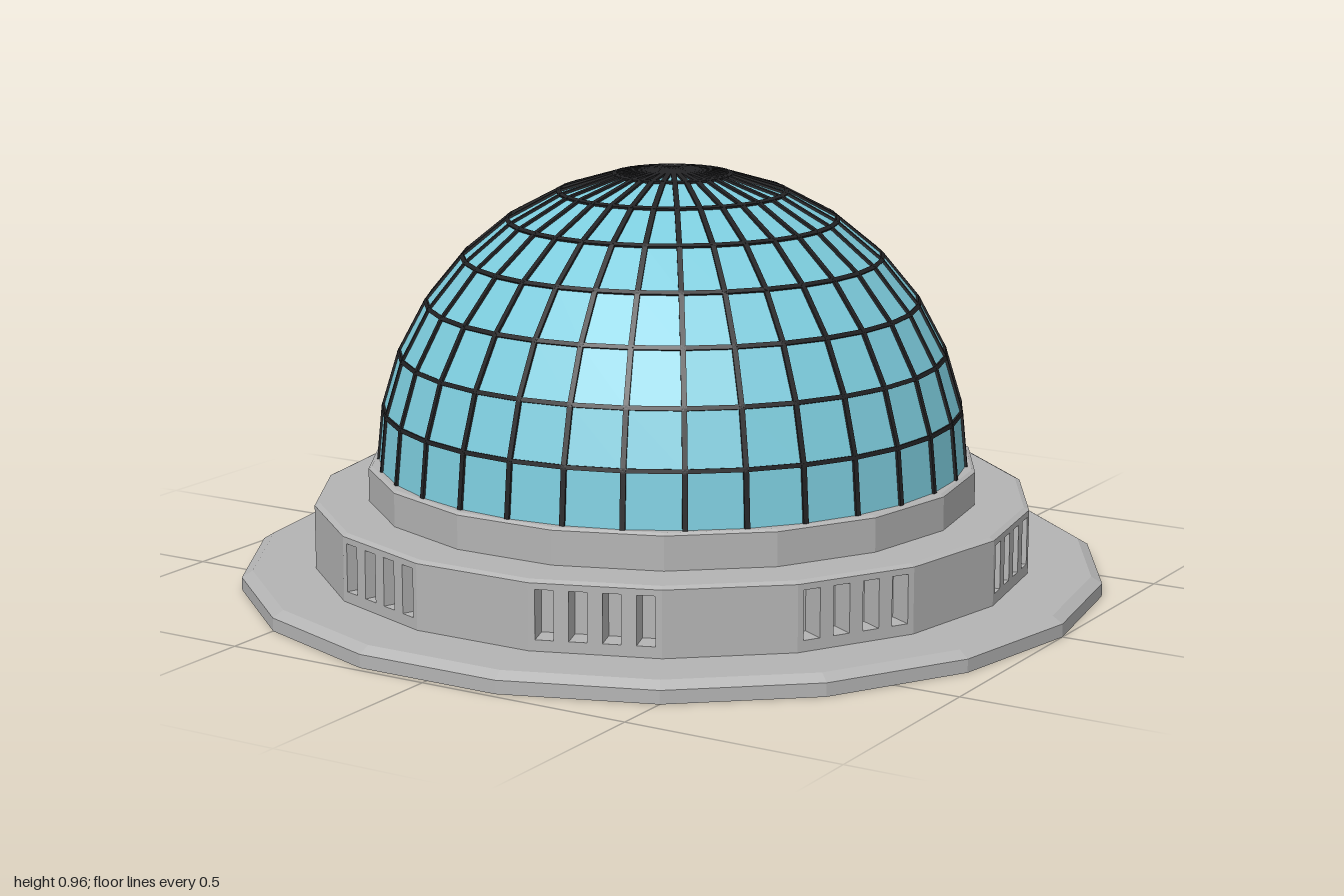
import * as THREE from 'three';
import { mergeGeometries } from 'three/addons/utils/BufferGeometryUtils.js';

const stone = new THREE.MeshStandardMaterial({ color: 0xb4b4b4 });
stone.name = 'grey stone';
const glass = new THREE.MeshStandardMaterial({ color: 0x7ccbdc });
glass.name = 'blue glass';
const iron = new THREE.MeshStandardMaterial({ color: 0x222224 });
iron.name = 'dark iron';

const SIDES = 18;
const STEP = (Math.PI * 2) / SIDES;
const COS = Math.cos(STEP / 2);
const TAN = Math.tan(STEP / 2);

// Facet a geometry with one normal per face
function faceted(geometry) {
  const flat = geometry.index ? geometry.toNonIndexed() : geometry;
  flat.computeVertexNormals();
  return flat;
}

function addMesh(group, name, geometry, material) {
  const mesh = new THREE.Mesh(geometry, material);
  mesh.name = name;
  group.add(mesh);
  return mesh;
}

// Eighteen-sided tier with a corner on +x
function tier(rTop, rBottom, y0, y1, open = false) {
  const g = new THREE.CylinderGeometry(rTop, rBottom, y1 - y0, SIDES, 1, open);
  g.rotateY(Math.PI / 2);
  g.translate(0, (y0 + y1) / 2, 0);
  return faceted(g);
}

// Upright block on the facet at an angle: outer span o0..o1, inner span i0..i1
function block(angle, outer, inner, o0, o1, i0, i1, y0, y1) {
  const shape = new THREE.Shape([
    new THREE.Vector2(outer, o0), new THREE.Vector2(outer, o1),
    new THREE.Vector2(inner, i1), new THREE.Vector2(inner, i0),
  ]);
  const g = new THREE.ExtrudeGeometry(shape, { depth: y1 - y0, bevelEnabled: false });
  g.rotateX(-Math.PI / 2);
  g.translate(0, y0, 0);
  g.rotateY(-angle);
  return faceted(g);
}

// Square bar from a to b, its flat side facing away from the dome's middle
function bar(a, b, middle, width) {
  const along = b.clone().sub(a);
  const length = along.length();
  along.normalize();
  const mid = a.clone().add(b).multiplyScalar(0.5);
  const out = mid.clone().sub(middle);
  out.addScaledVector(along, -out.dot(along)).normalize();
  const side = new THREE.Vector3().crossVectors(along, out);
  const g = new THREE.BoxGeometry(width, length + 0.003, 0.01);
  g.applyMatrix4(new THREE.Matrix4().makeBasis(side, along, out).setPosition(mid));
  return g;
}

export function createModel() {
  const model = new THREE.Group();
  model.name = 'domedBuilding';

  // Foundation plate with a chamfered rim
  addMesh(model, 'foundation', tier(1, 1, 0, 0.03), stone);
  addMesh(model, 'foundationRim', tier(0.975, 1, 0.03, 0.045), stone);

  // Lower storey: sill, lintel and recessed core
  const R = 0.83;
  const outer = R * COS;
  const inner = outer - 0.06;
  addMesh(model, 'sill', tier(R, R, 0.045, 0.07), stone);
  addMesh(model, 'recessedWall', tier(inner / COS, inner / COS, 0.07, 0.18, true), stone);
  addMesh(model, 'lintel', tier(R, R, 0.18, 0.194), stone);
  addMesh(model, 'lintelRim', tier(R - 0.012, R, 0.194, 0.2), stone);

  // Walls: every other facet has four upright openings, the rest are solid
  const walls = [];
  const edge = outer * TAN;
  const innerEdge = inner * TAN;
  const pitch = 0.073;
  const half = 0.02;
  for (let k = 0; k < SIDES; k++) {
    const angle = (k + 0.5) * STEP;
    const add = (o0, o1, i0, i1) =>
      walls.push(block(angle, outer, inner, o0, o1, i0, i1, 0.07, 0.18));
    if (k % 2 === 0) {
      add(-edge, edge, -innerEdge, innerEdge);
      continue;
    }
    const end = 1.5 * pitch + half;
    add(-edge, -end, -innerEdge, -end);
    add(end, edge, end, innerEdge);
    for (let j = -1; j <= 1; j++) {
      const u0 = j * pitch - pitch / 2 + half;
      const u1 = j * pitch + pitch / 2 - half;
      add(u0, u1, u0, u1);
    }
  }
  addMesh(model, 'ventedWalls', mergeGeometries(walls), stone);

  // Thin roof slab over the back facet
  const slabOut = 0.812 * COS;
  const slabIn = 0.69 * COS;
  addMesh(model, 'backRoofSlab', block(1.5 * Math.PI, slabOut, slabIn,
    -slabOut * TAN, slabOut * TAN, -slabIn * TAN, slabIn * TAN, 0.199, 0.206), stone);

  // Drum carrying the dome
  addMesh(model, 'drum', tier(0.705, 0.705, 0.2, 0.277), stone);
  addMesh(model, 'drumRim', tier(0.697, 0.705, 0.277, 0.282), stone);

  // Glass dome
  const SEG = 32;
  const ROWS = 8;
  const radius = 0.68;
  const middle = new THREE.Vector3(0, 0.275, 0);
  const dome = new THREE.SphereGeometry(radius, SEG, ROWS, 0, Math.PI * 2, 0, Math.PI / 2);
  dome.translate(0, middle.y, 0);
  addMesh(model, 'glassDome', faceted(dome), glass);

  // Iron glazing bars along every edge of the dome
  const point = (row, seg) => new THREE.Vector3().setFromSphericalCoords(
    radius, (row / ROWS) * Math.PI / 2, (seg / SEG) * Math.PI * 2).add(middle);
  const ribs = [];
  const hoops = [];
  for (let seg = 0; seg < SEG; seg++) {
    for (let row = 0; row < ROWS; row++) {
      ribs.push(bar(point(row, seg), point(row + 1, seg), middle, 0.012));
      if (row > 0) hoops.push(bar(point(row, seg), point(row, seg + 1), middle, 0.01));
    }
  }
  addMesh(model, 'domeRibs', mergeGeometries(ribs), iron);
  addMesh(model, 'domeHoops', mergeGeometries(hoops), iron);

  // Elbow pipe from a back wall down to the foundation
  const bend = new THREE.QuadraticBezierCurve3(
    new THREE.Vector3(0.8, 0.106, 0),
    new THREE.Vector3(0.876, 0.112, 0),
    new THREE.Vector3(0.876, 0.04, 0));
  const pipe = new THREE.TubeGeometry(bend, 6, 0.03, 8);
  pipe.rotateY(-12.5 * STEP);
  addMesh(model, 'elbowPipe', faceted(pipe), stone);

  return model;
}
